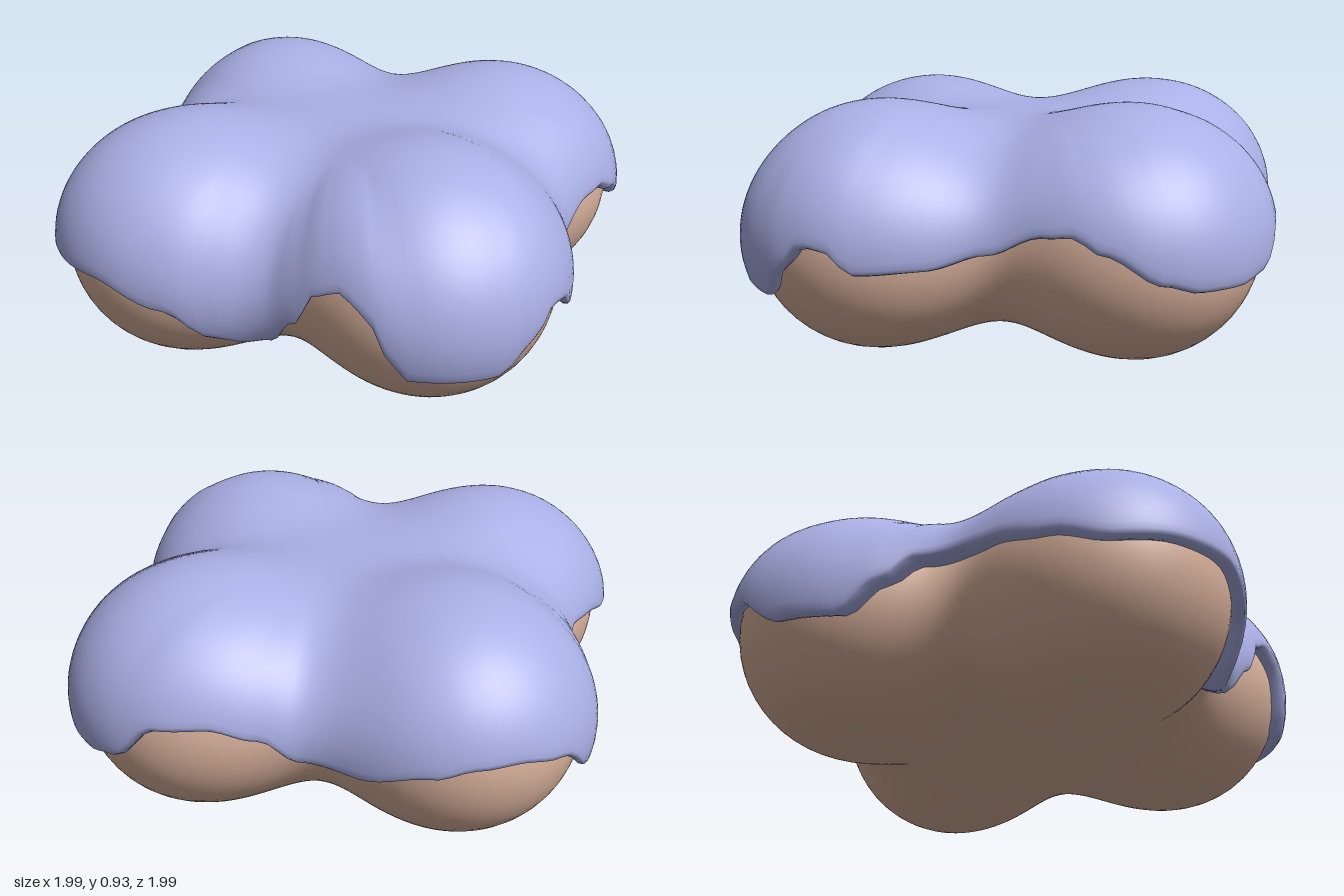
import * as THREE from 'three';

const MID = 0.45, LOBE = 0.5, R = 0.429, CORE = 0.16, BLEND = 0.205;

// Four spheres and a smaller middle one blended into a soft body;
// the value is roughly the distance to its surface
function field(x, y, z) {
  let sum = Math.exp((CORE - Math.hypot(x, y, z)) / BLEND);
  for (const sx of [-1, 1]) for (const sz of [-1, 1])
    sum += Math.exp((R - Math.hypot(x - sx * LOBE, y, z - sz * LOBE)) / BLEND);
  return -BLEND * Math.log(sum);
}

// Point on the body, grown outward by offset, along a ray from the middle
function surfacePoint(azimuth, elevation, offset) {
  const dx = Math.cos(elevation) * Math.cos(azimuth);
  const dy = Math.sin(elevation);
  const dz = Math.cos(elevation) * Math.sin(azimuth);
  let lo = 0, hi = 1.8;
  for (let i = 0; i < 30; i++) {
    const r = (lo + hi) / 2;
    if (field(dx * r, dy * r, dz * r) < offset) lo = r; else hi = r;
  }
  return new THREE.Vector3(dx * lo, MID + dy * lo, dz * lo);
}

// Closed-round skin from rows (top to bottom) of points
function skin(rows, cols, pointAt) {
  const pos = [], index = [];
  for (let i = 0; i <= rows; i++) for (let j = 0; j < cols; j++)
    pos.push(...pointAt(i, j / cols * Math.PI * 2).toArray());
  for (let i = 0; i < rows; i++) for (let j = 0; j < cols; j++) {
    const k = (j + 1) % cols;
    const a = i * cols + j, b = i * cols + k, c = a + cols, d = b + cols;
    index.push(a, b, c, b, d, c);
  }
  const g = new THREE.BufferGeometry();
  g.setAttribute('position', new THREE.Float32BufferAttribute(pos, 3));
  g.setIndex(index);
  g.computeVertexNormals();
  return g;
}

// Icing rim: [angle from +x towards +z in degrees, height]
const RIM = [
  [0, 0.44], [13, 0.39], [24, 0.38], [29, 0.46], [33, 0.47], [38, 0.38], [44, 0.26],
  [60, 0.27], [64, 0.37], [67, 0.5], [72, 0.555], [77, 0.52], [83, 0.37], [90, 0.25],
  [97, 0.225], [103, 0.25], [110, 0.37], [123, 0.455], [134, 0.45], [146, 0.43],
  [156, 0.48], [167, 0.53], [175, 0.54], [186, 0.53], [192, 0.44], [200, 0.32],
  [211, 0.33], [222, 0.47], [231, 0.5], [238, 0.49], [245, 0.45], [258, 0.38],
  [272, 0.39], [280, 0.48], [289, 0.53], [298, 0.52], [306, 0.38],
  [313, 0.35], [321, 0.35], [327, 0.38], [337, 0.48], [342, 0.53], [347, 0.52], [360, 0.44],
];
function rimHeight(azimuth) {
  const deg = THREE.MathUtils.radToDeg(azimuth);
  const i = Math.max(1, RIM.findIndex((p) => p[0] >= deg));
  const [a, ha] = RIM[i - 1], [b, hb] = RIM[i];
  return ha + (hb - ha) * THREE.MathUtils.smoothstep(deg, a, b);
}
function rimElevation(azimuth) {
  let e = 0;
  for (let i = 0; i < 6; i++) {
    const p = surfacePoint(azimuth, e, 0.03);
    e = Math.atan2(rimHeight(azimuth) - MID, Math.hypot(p.x, p.z));
  }
  return e;
}

export function createModel() {
  const group = new THREE.Group();
  const add = (name, geometry, color) => {
    const material = new THREE.MeshStandardMaterial({ color, side: THREE.DoubleSide });
    const mesh = new THREE.Mesh(geometry, material);
    mesh.name = name;
    group.add(mesh);
  };

  // Four-lobed bun
  const bunRows = 72, cols = 180;
  add('bun', skin(bunRows, cols, (i, az) =>
    surfacePoint(az, Math.PI * (0.5 - i / bunRows), 0)), 0xdcb49e);

  // Icing: a thin coat that thickens toward the rim, then curls back under it
  const coatRows = 64;
  const curl = [[0.015, 0.044], [0.022, 0.028], [0.018, 0.01], [0.01, -0.01]];
  const elevations = new Map();
  add('icing', skin(coatRows + curl.length, cols, (i, az) => {
    if (!elevations.has(az)) elevations.set(az, rimElevation(az));
    const end = elevations.get(az) + 0.02;
    if (i > coatRows) {
      const [drop, offset] = curl[i - coatRows - 1];
      return surfacePoint(az, end - drop, offset);
    }
    const elevation = THREE.MathUtils.lerp(Math.PI / 2, end, i / coatRows);
    const offset = 0.05 - 0.032 * THREE.MathUtils.smoothstep(elevation - end, 0.03, 0.55);
    return surfacePoint(az, elevation, offset);
  }), 0xaab0e6);

  return group;
}
